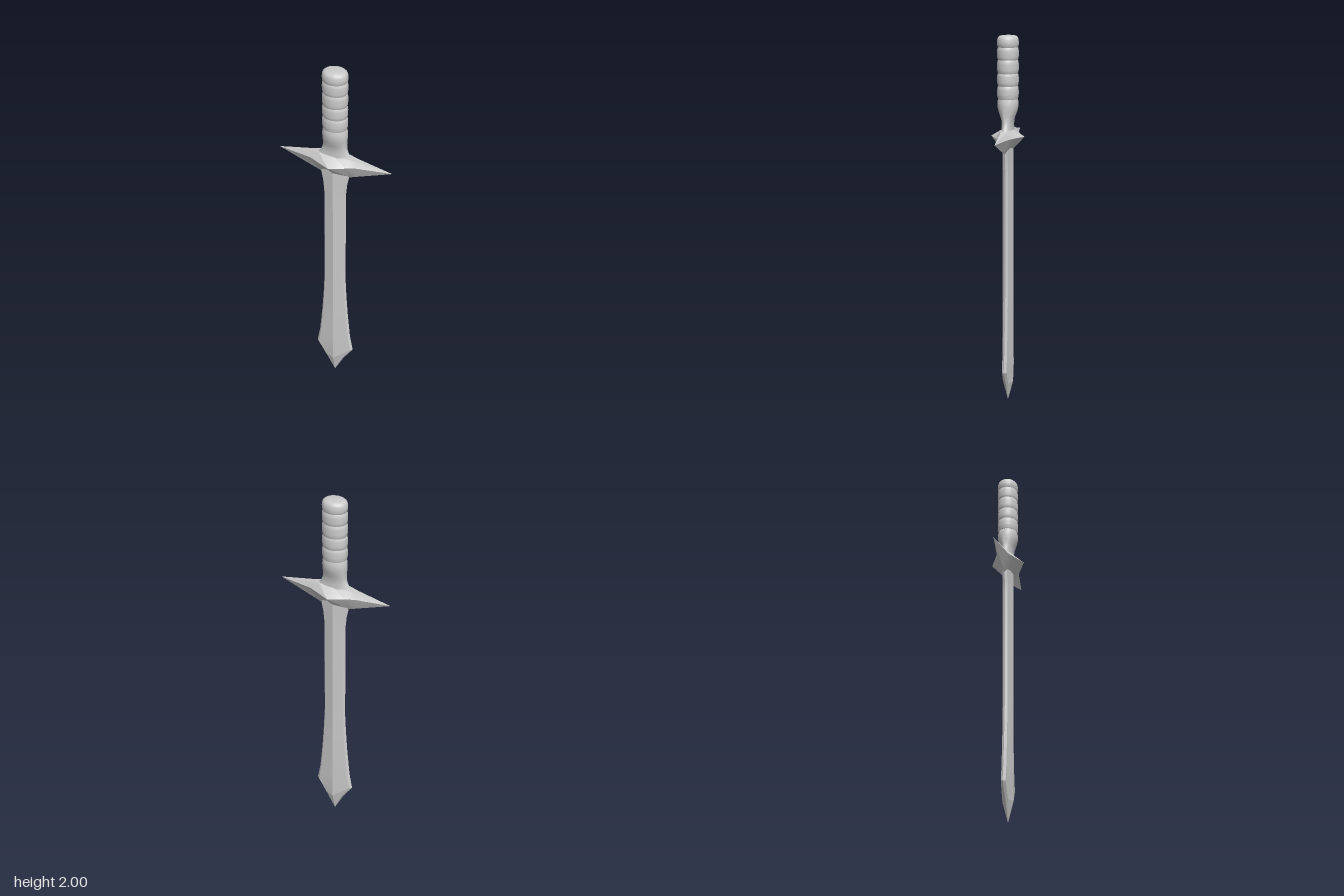
import * as THREE from 'three';
import { toCreasedNormals } from 'three/addons/utils/BufferGeometryUtils.js';

const material = new THREE.MeshStandardMaterial({ color: 0xcccccc });

// Skins a list of rings (arrays of [x, y, z]); a ring may collapse to a point.
function loft(name, rings, crease) {
  const pos = [];
  const same = (a, b) => a.every((v, i) => Math.abs(v - b[i]) < 1e-6);
  const tri = (a, b, c) => {
    if (!same(a, b) && !same(b, c) && !same(a, c)) pos.push(...a, ...b, ...c);
  };
  for (let r = 0; r < rings.length - 1; r++) {
    const lo = rings[r], hi = rings[r + 1], n = lo.length;
    for (let i = 0; i < n; i++) {
      const j = (i + 1) % n;
      tri(lo[i], hi[i], lo[j]);
      tri(hi[i], hi[j], lo[j]);
    }
  }
  const geometry = new THREE.BufferGeometry();
  geometry.setAttribute('position', new THREE.Float32BufferAttribute(pos, 3));
  const mesh = new THREE.Mesh(toCreasedNormals(geometry, crease), material);
  mesh.name = name;
  return mesh;
}

// Blade: ridged section with bevelled edges, [y, half width, half depth]
function makeBlade() {
  const stations = [
    [0.005, 0, 0], [0.115, 0.056, 0.029], [0.195, 0.11, 0.03], [0.29, 0.093, 0.03],
    [0.45, 0.078, 0.03], [0.58, 0.069, 0.03], [0.7, 0.063, 0.03],
    [1.27, 0.062, 0.03], [1.34, 0.069, 0.03], [1.39, 0.08, 0.03], [1.42, 0.08, 0.03],
  ];
  const rings = stations.map(([y, w, d]) => {
    const e = w * 0.88, b = d * 0.42;
    return [[w, y, 0], [e, y, b], [0, y, d], [-e, y, b],
      [-w, y, 0], [-e, y, -b], [0, y, -d], [e, y, -b]];
  });
  return loft('blade', rings, 0.2);
}

// Cross guard: pointed arms, widest at the middle, [x, top, bottom, half depth, top half depth]
function makeGuard() {
  const half = [
    [0, 1.515, 1.378, 0.09, 0.025], [0.08, 1.512, 1.388, 0.052, 0.022],
    [0.125, 1.504, 1.405, 0.031, 0.015], [0.315, 1.475, 1.475, 0, 0],
  ];
  const mirrored = half.slice(1).reverse().map(([x, ...rest]) => [-x, ...rest]);
  const rings = [...mirrored, ...half].map(([x, top, bottom, d, t]) => [
    [x, top, t], [x, top, -t], [x, 1.475, -d], [x, bottom, 0], [x, 1.475, d],
  ]);
  return loft('crossGuard', rings, 0.35);
}

// Elliptical ring for the grip
function ellipse(y, w, d, sides = 32) {
  return Array.from({ length: sides }, (_, i) => {
    const a = (i / sides) * Math.PI * 2;
    return [w * Math.cos(a), y, d * Math.sin(a)];
  });
}

// Neck flaring into the guard and flattening front to back
function makeNeck() {
  const rings = [
    [1.49, 0.1, 0.032], [1.51, 0.09, 0.03], [1.53, 0.076, 0.029], [1.555, 0.067, 0.031],
    [1.58, 0.065, 0.038], [1.605, 0.066, 0.048], [1.63, 0.067, 0.054],
    [1.655, 0.066, 0.055], [1.672, 0.061, 0.051],
  ].map((s) => ellipse(...s));
  return loft('neck', rings, 0.7);
}

// Grip: swollen bands separated by narrow seams
function makeGrip() {
  const grip = new THREE.Group();
  grip.name = 'grip';
  const seams = [1.672, 1.74, 1.805, 1.875, 1.94];
  for (let i = 0; i < seams.length - 1; i++) {
    const rings = [];
    for (let k = 0; k <= 8; k++) {
      const t = k / 8;
      const s = 1 - 0.08 * Math.pow(Math.abs(2 * t - 1), 4);
      rings.push(ellipse(THREE.MathUtils.lerp(seams[i], seams[i + 1], t), 0.067 * s, 0.056 * s));
    }
    grip.add(loft('gripBand' + (i + 1), rings, 0.7));
  }
  // Rounded end
  const cap = [[1.94, 0.92], [1.95, 0.99], [1.965, 1], [1.98, 0.98], [1.99, 0.92], [1.997, 0.8], [2, 0.6], [2, 0]];
  grip.add(loft('pommel', cap.map(([y, s]) => ellipse(y, 0.067 * s, 0.056 * s)), 0.8));
  return grip;
}

export function createModel() {
  const model = new THREE.Group();
  model.name = 'sword';
  model.add(makeBlade(), makeGuard(), makeNeck(), makeGrip());
  return model;
}
